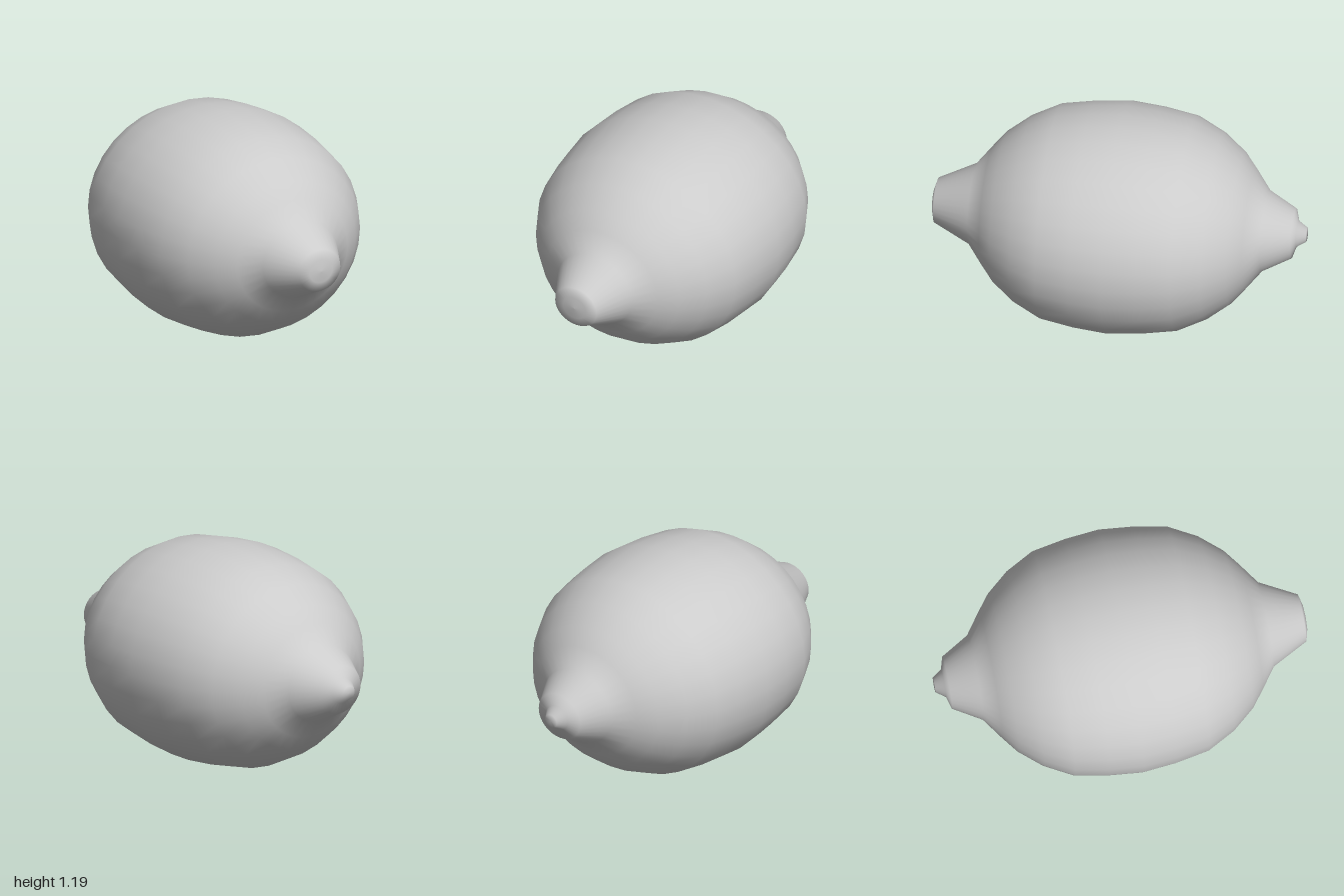
import * as THREE from 'three';

export function createModel() {
  const group = new THREE.Group();
  group.name = 'lemon';

  // Profile from stem end to blossom end: [radius, position along the fruit]
  const profile = [
    [0, -1], [0.04, -1], [0.075, -0.95], [0.142, -0.93],       // stem stub and collar
    [0.23, -0.78], [0.34, -0.7], [0.43, -0.63], [0.53, -0.51],  // shoulder
    [0.61, -0.36], [0.643, -0.18], [0.66, 0], [0.643, 0.18], [0.61, 0.36],
    [0.53, 0.51], [0.43, 0.63], [0.34, 0.7], [0.23, 0.78],
    [0.128, 0.975], [0.07, 0.99], [0, 0.995],                   // blunt nipple
  ].map(([r, z]) => new THREE.Vector2(r, z));

  // Turned body laid along z, slightly flattened in height
  const geometry = new THREE.LatheGeometry(profile, 32);
  geometry.rotateX(Math.PI / 2);
  geometry.scale(1, 0.9, 1);
  geometry.translate(0, 0.6, 0);

  const skin = new THREE.Mesh(geometry, new THREE.MeshStandardMaterial({ color: 0xcccccc }));
  skin.name = 'lemonSkin';
  group.add(skin);
  return group;
}
